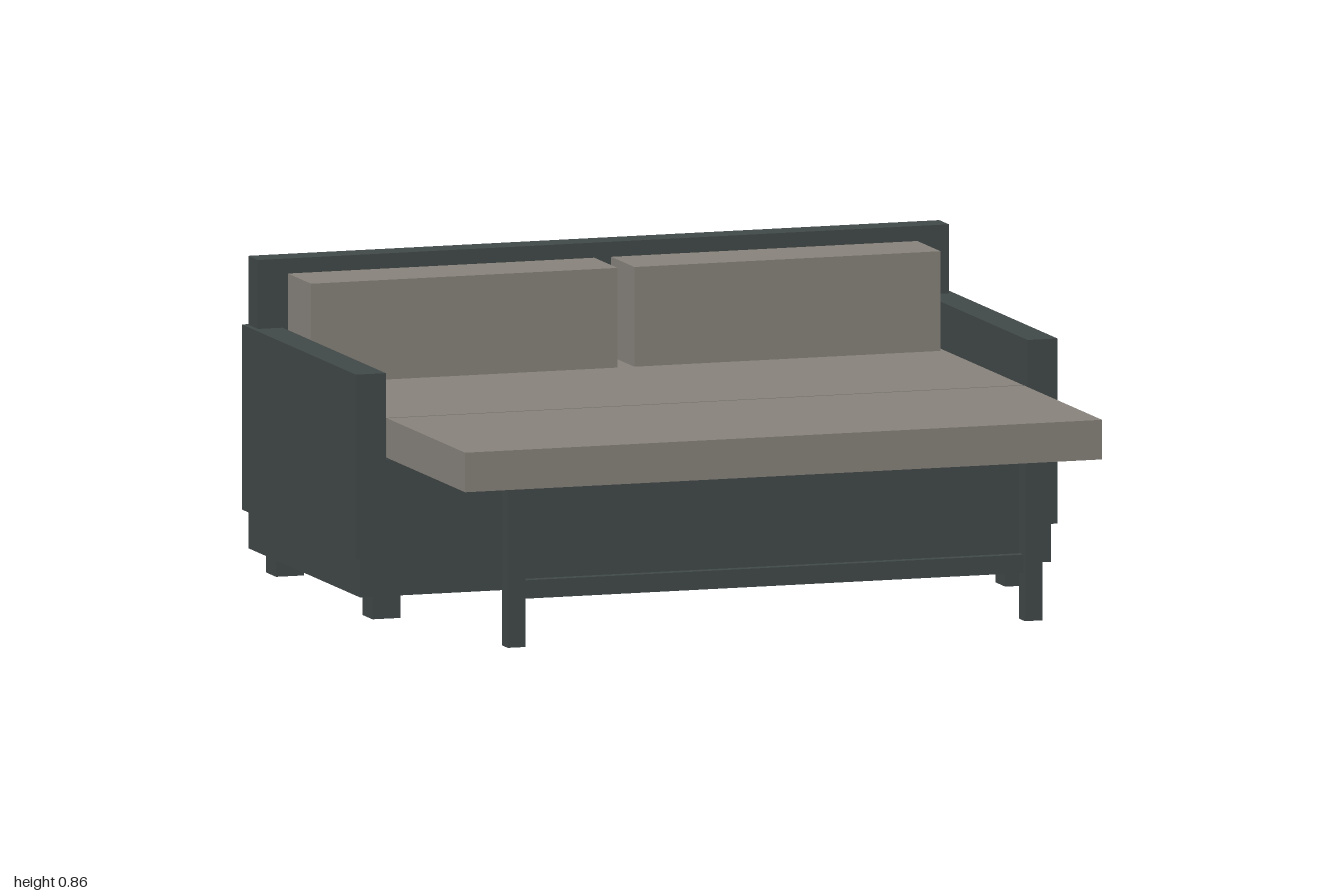
import * as THREE from 'three';

export function createModel() {
  const sofa = new THREE.Group();
  sofa.name = 'sofaBed';

  const frameFabric = new THREE.MeshStandardMaterial({ color: 0x424949 });
  frameFabric.name = 'charcoal fabric';
  const cushionFabric = new THREE.MeshStandardMaterial({ color: 0x89847d });
  cushionFabric.name = 'taupe fabric';

  // Box given by its minimum and maximum along each axis
  function box(name, material, [x0, x1], [y0, y1], [z0, z1]) {
    const mesh = new THREE.Mesh(new THREE.BoxGeometry(x1 - x0, y1 - y0, z1 - z0), material);
    mesh.position.set((x0 + x1) / 2, (y0 + y1) / 2, (z0 + z1) / 2);
    mesh.name = name;
    sofa.add(mesh);
  }

  // Same box on both sides of the sofa
  function pair(name, material, [x0, x1], y, z) {
    box(name + 'Left', material, [x0, x1], y, z);
    box(name + 'Right', material, [-x1, -x0], y, z);
  }

  // Frame: base, backrest and arms
  box('base', frameFabric, [-0.985, 0.985], [0.065, 0.17], [-0.785, 0.145]);
  box('seatBox', frameFabric, [-0.915, 0.915], [0.17, 0.438], [-0.705, 0.145]);
  box('backrest', frameFabric, [-0.985, 0.985], [0.17, 0.863], [-0.785, -0.705]);
  pair('arm', frameFabric, [0.915, 1], [0.17, 0.675], [-0.795, 0.155]);

  // Short feet under the base
  for (const [end, z] of [['front', [0.04, 0.123]], ['back', [-0.763, -0.68]]]) {
    pair(end + 'Foot', frameFabric, [0.862, 0.942], [0, 0.065], z);
  }

  // Seat, pulled-out section and back cushions
  box('seatCushion', cushionFabric, [-0.908, 0.908], [0.442, 0.55], [-0.705, 0.137]);
  box('pullOutCushion', cushionFabric, [-0.908, 0.908], [0.442, 0.55], [0.145, 0.795]);
  box('seatRail', frameFabric, [-0.905, 0.905], [0.434, 0.442], [-0.7, 0.165]);
  box('backCushionLeft', cushionFabric, [0.022, 0.895], [0.55, 0.822], [-0.705, -0.512]);
  box('backCushionRight', cushionFabric, [-0.9, -0.026], [0.55, 0.822], [-0.705, -0.512]);

  // Support stand of the pulled-out section
  pair('standLeg', frameFabric, [0.712, 0.762], [0, 0.442], [0.674, 0.724]);
  box('standCrossbar', frameFabric, [-0.712, 0.712], [0.13, 0.18], [0.685, 0.713]);

  return sofa;
}
